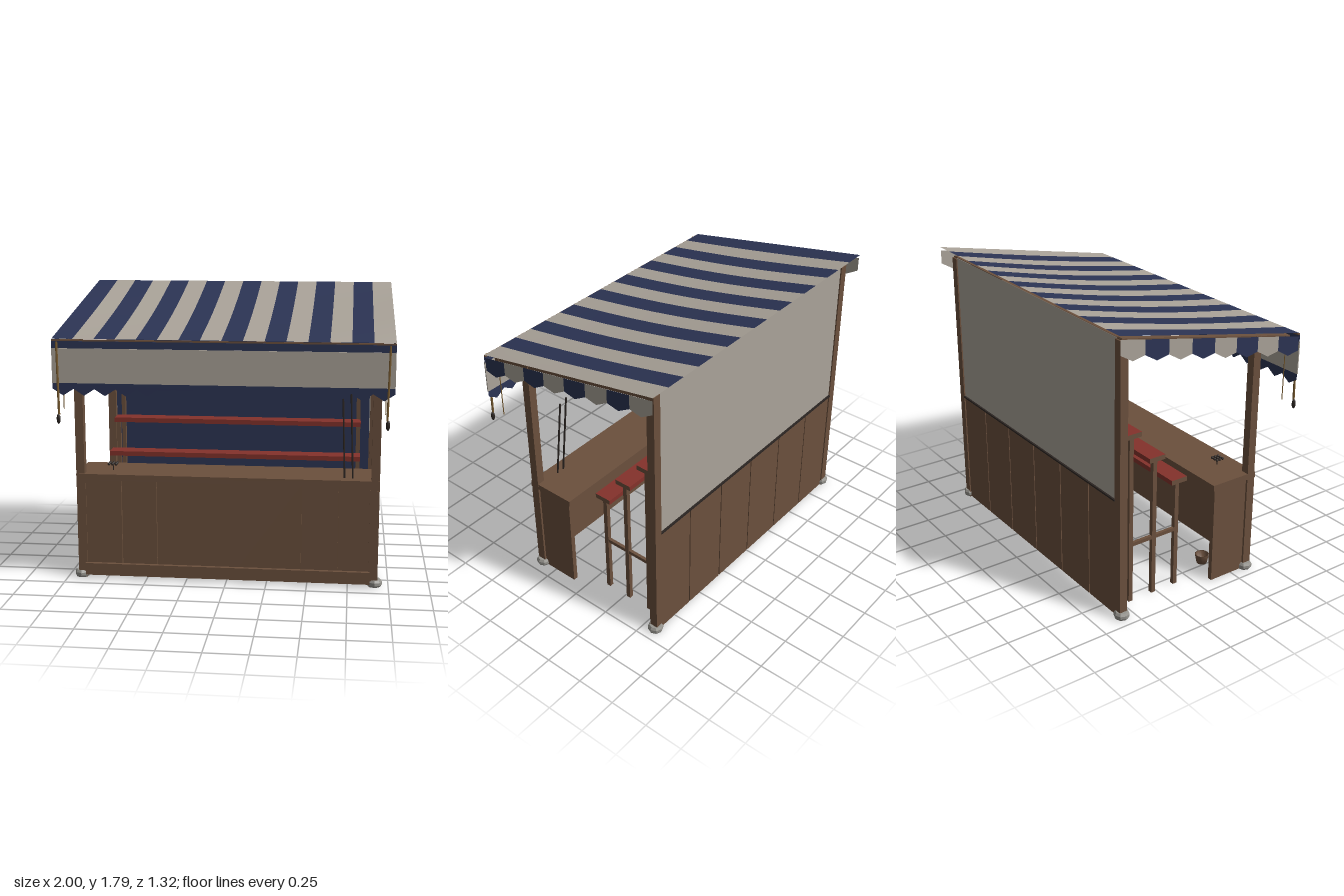
import * as THREE from 'three';

const mat = (name, color, double) => {
  const m = new THREE.MeshStandardMaterial({ color });
  m.name = name;
  if (double) m.side = THREE.DoubleSide;
  return m;
};

export function createModel() {
  const root = new THREE.Group();
  root.name = 'marketStall';
  const wood = mat('brownWood', 0x6b503d);
  const red = mat('redPaint', 0x84322b);
  const metal = mat('greyMetal', 0x97958f);
  const rope = mat('tanRope', 0x7a5c30);
  const dark = mat('darkIron', 0x2b2522);
  const navy = mat('navyCloth', 0x2c3454, true);
  const beige = mat('beigeCloth', 0xaaa399, true);

  const add = (name, geo, material, x = 0, y = 0, z = 0) => {
    const m = new THREE.Mesh(geo, material);
    m.name = name;
    m.position.set(x, y, z);
    root.add(m);
    return m;
  };
  // Box given by its limits on each axis
  const box = (name, material, x0, x1, y0, y1, z0, z1) =>
    add(name, new THREE.BoxGeometry(x1 - x0, y1 - y0, z1 - z0), material,
      (x0 + x1) / 2, (y0 + y1) / 2, (z0 + z1) / 2);
  // Round rod between two points
  const rod = (name, material, a, b, r, sides = 6) => {
    const p = new THREE.Vector3(...a), q = new THREE.Vector3(...b);
    const m = add(name, new THREE.CylinderGeometry(r, r, p.distanceTo(q), sides), material);
    m.position.copy(p).add(q).multiplyScalar(0.5);
    m.quaternion.setFromUnitVectors(new THREE.Vector3(0, 1, 0), q.sub(p).normalize());
    return m;
  };
  // Flat cloth piece from a list of 2D corners
  const cloth = (name, material, pts) =>
    add(name, new THREE.ShapeGeometry(new THREE.Shape(pts.map(p => new THREE.Vector2(...p)))), material);

  const FRONT = 0.615, BACK = -0.66, SLOPE = 0.2;
  const roofY = z => 1.535 + (FRONT - z) * SLOPE;

  // Posts with eight-sided metal feet, and sloping rafters
  const foot = new THREE.LatheGeometry(
    [[0, 0], [0.04, 0], [0.047, 0.012], [0.047, 0.03], [0.038, 0.045], [0, 0.045]].map(p => new THREE.Vector2(...p)), 8
  ).toNonIndexed();
  foot.computeVertexNormals();
  for (const s of [-1, 1]) {
    for (const z of [0.361, -0.582]) {
      const h = roofY(z) - 0.045;
      add('post', new THREE.BoxGeometry(0.052, h, 0.052), wood, s * 0.907, h / 2, z);
      add('postFoot', foot, metal, s * 0.915, 0, z);
    }
    const rafter = box('rafter', wood, s * 0.907 - 0.02, s * 0.907 + 0.02, -0.018, 0.018, -0.61, 0.61);
    rafter.position.y = roofY(0) - 0.055;
    rafter.rotation.x = Math.atan(SLOPE);
  }
  for (const z of [0.595, 0.361, -0.582]) {
    const y = roofY(z) - 0.055;
    box('crossBeam', wood, -0.93, 0.93, y - 0.018, y + 0.018, z - 0.016, z + 0.016);
  }

  // Striped, slightly sagging awning
  const STRIPES = 16, W = 2 / STRIPES;
  for (let i = 0; i < STRIPES; i++) {
    const geo = new THREE.PlaneGeometry(W, 1, 1, 12).rotateX(-Math.PI / 2).translate(-1 + W * (i + 0.5), 0, 0);
    const p = geo.attributes.position;
    for (let k = 0; k < p.count; k++) {
      const t = p.getZ(k) + 0.5, x = p.getX(k);
      const z = BACK + (FRONT - BACK) * t;
      const sag = 0.018 * Math.sin(Math.PI * t) * (1 - x ** 4);
      p.setXYZ(k, x, roofY(z) - sag, z);
    }
    geo.computeVertexNormals();
    add('awningStripe', geo, i % 2 ? beige : navy);
  }
  box('awningFrontRail', wood, -1, 1, 1.522, 1.532, 0.608, 0.62);

  // Pointed flaps along both sides
  const FLAPS = 8, FW = (FRONT + 0.655) / FLAPS;
  for (const s of [-1, 1]) {
    for (let i = 0; i < FLAPS; i++) {
      const a = FRONT - i * FW, b = a - FW, c = (a + b) / 2;
      const top = z => roofY(z) - 0.021;
      const flap = cloth('sideFlap', i % 2 ? beige : navy,
        [[-a, top(a)], [-a, top(a) - 0.088], [-c, top(c) - 0.12], [-b, top(b) - 0.088], [-b, top(b)]]);
      flap.rotation.y = Math.PI / 2;
      flap.position.x = s * 0.998;
    }
  }

  // Front valance: navy band, beige panel, navy zigzag hem
  box('valanceBand', navy, -1, 1, 1.48, 1.522, 0.618, 0.622);
  box('valancePanel', beige, -1, 1, 1.275, 1.48, 0.62, 0.627);
  const hem = [[-1, 1.28], [-1, 1.24]];
  for (let i = 0; i < STRIPES; i++) {
    hem.push([-1 + W * (i + 0.5), 1.2], [-1 + W * (i + 1), 1.24]);
  }
  hem.push([1, 1.28]);
  cloth('valanceHem', navy, hem).position.z = 0.62;

  // Tie ropes with tassels, and thin cords behind them
  for (const s of [-1, 1]) {
    rod('tieRope', rope, [s * 0.967, 1.52, 0.633], [s * 0.958, 1.09, 0.649], 0.007);
    const tassel = add('tassel', new THREE.SphereGeometry(0.012, 8, 6), dark, s * 0.962, 1.065, 0.649);
    tassel.scale.y = 2.6;
    rod('cord', rope, [s * 0.95, 1.43, 0.56], [s * 0.95, 1.11, 0.56], 0.003);
  }

  // Back wall: six boards outside, canvas above, navy lining inside
  const BW = 1.82 / 6;
  for (let i = 0; i < 6; i++) {
    const x = -0.91 + i * BW;
    box('backBoard', wood, x + 0.004, x + BW - 0.004, 0.005, 0.765, -0.6, -0.582);
  }
  box('backCanvas', beige, -0.882, 0.882, 0.765, 1.735, -0.6, -0.594);
  box('backCanvasRod', dark, -0.882, 0.882, 0.762, 0.772, -0.612, -0.6);
  box('backLining', navy, -0.875, 0.875, 0.08, 1.735, -0.574, -0.568);
  box('backSkirting', wood, -0.882, 0.882, 0.02, 0.08, -0.581, -0.565);

  // Hollow counter, open at the back
  box('counterTop', wood, -0.932, 0.932, 0.632, 0.67, 0.072, 0.395);
  for (const s of [-1, 1]) {
    box('counterSide', wood, s * 0.905 - 0.015, s * 0.905 + 0.015, 0.005, 0.632, 0.09, 0.36);
    box('counterCornerStrip', wood, s * 0.903 - 0.028, s * 0.903 + 0.028, 0.02, 0.61, 0.38, 0.392);
  }
  const cuts = [-0.9, -0.65, -0.43, 0.02, 0.465, 0.69, 0.9];
  for (let i = 0; i < 6; i++) {
    box('counterFrontBoard', wood, cuts[i] + 0.003, cuts[i + 1] - 0.003, 0.025, 0.632, 0.365, 0.384);
  }
  box('counterFrontLining', wood, -0.89, 0.89, 0.025, 0.632, 0.355, 0.366);
  box('kickBoard', wood, -0.885, 0.885, 0.022, 0.098, 0.384, 0.409);

  // Stepped display shelves
  const ends = [wood, wood, red, wood, red, red];
  [[-0.095, 0.72, -0.11], [-0.26, 0.912, -0.275], [-0.43, 1.102, -0.443]].forEach(([z, y, legZ]) => {
    box('shelf', ends, -0.815, 0.815, y - 0.03, y, z - 0.056, z + 0.056);
    for (const s of [-1, 1]) {
      box('shelfLeg', wood, s * 0.8 - 0.013, s * 0.8 + 0.013, 0, y - 0.03, legZ - 0.014, legZ + 0.014);
    }
  });
  for (const s of [-1, 1]) {
    box('shelfRung', wood, s * 0.8 - 0.01, s * 0.8 + 0.01, 0.372, 0.395, -0.443, -0.11);
  }

  // Two sticks leaning on the counter
  rod('stick', dark, [0.72, 0.67, 0.325], [0.7, 1.22, 0.277], 0.006);
  rod('stick', dark, [0.77, 0.67, 0.325], [0.75, 1.2, 0.279], 0.006);

  // Cluster of small knobs on the counter
  for (let i = 0; i < 9; i++) {
    const x = -0.725 + ((i % 3) - 1) * 0.022, z = 0.27 + (Math.floor(i / 3) - 1) * 0.022;
    add('knob', new THREE.SphereGeometry(0.009, 8, 6), dark, x, 0.712, z);
    if (i === 4) rod('knobPeg', dark, [x, 0.67, z], [x, 0.71, z], 0.003);
  }

  // Wooden bucket behind the counter
  add('bucket', new THREE.LatheGeometry(
    [[0, 0], [0.033, 0], [0.045, 0.06], [0.039, 0.06], [0.029, 0.008], [0, 0.008]].map(p => new THREE.Vector2(...p)), 12
  ), wood, -0.72, 0, 0.18);

  return root;
}
